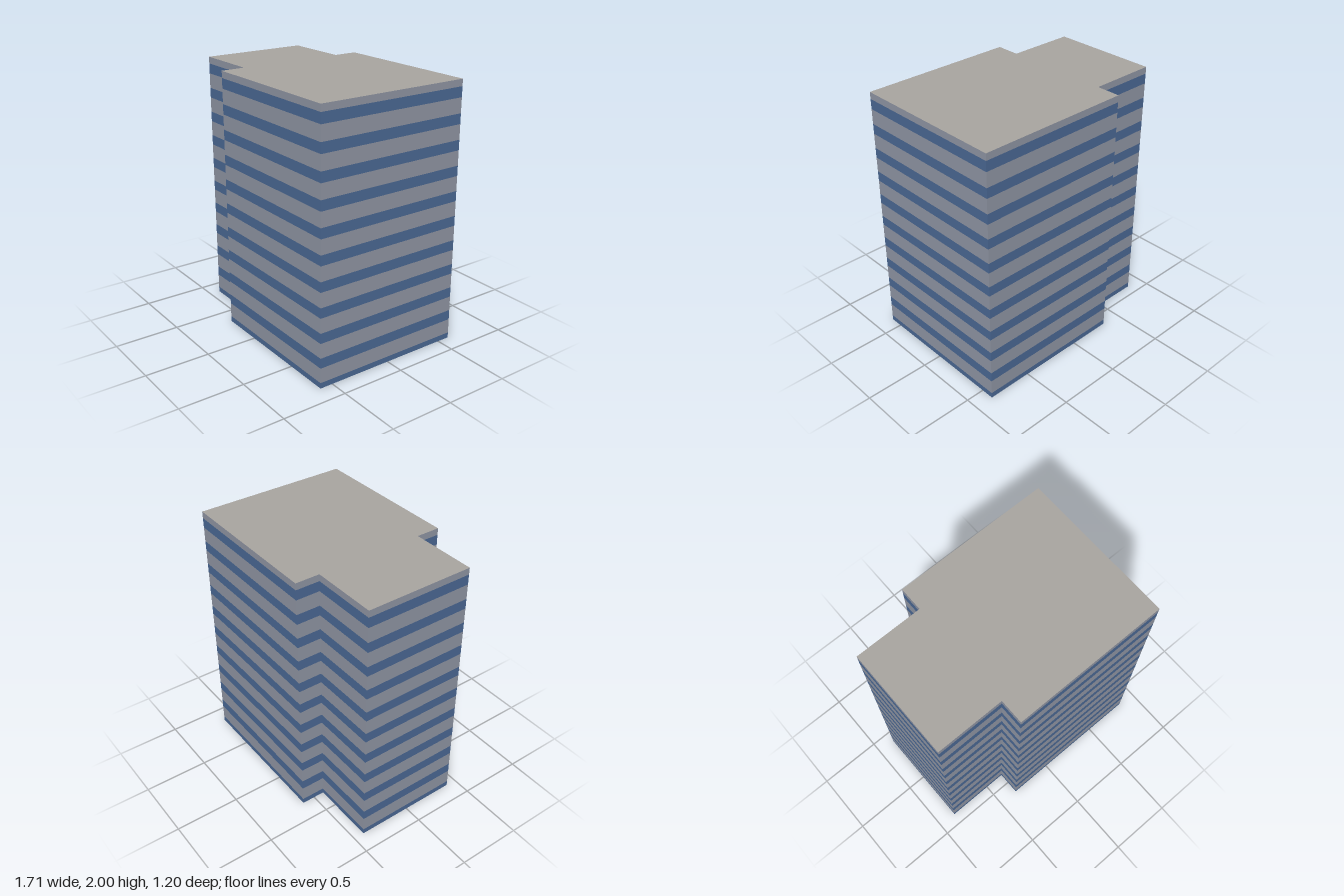
import * as THREE from 'three';

// Footprint (x, z), running along the front towards +x and round the building
const FOOTPRINT = [
  [-0.34, 0.6], [0.855, 0.6], [0.855, -0.6], [-0.34, -0.6],
  [-0.34, -0.415], [-0.855, -0.415], [-0.855, 0.415], [-0.34, 0.415],
];
const HEIGHT = 2;
const FLOOR = 0.1905;     // floor-to-floor height
const GLASS = 0.077;      // height of each window band
const GLASS_TOP = 0.043;  // top of the lowest window band

// Open ring of vertical wall faces following the footprint
function wallRing(y0, y1) {
  const positions = [];
  FOOTPRINT.forEach(([ax, az], i) => {
    const [bx, bz] = FOOTPRINT[(i + 1) % FOOTPRINT.length];
    positions.push(ax, y0, az, bx, y0, bz, bx, y1, bz);
    positions.push(ax, y0, az, bx, y1, bz, ax, y1, az);
  });
  const geometry = new THREE.BufferGeometry();
  geometry.setAttribute('position', new THREE.Float32BufferAttribute(positions, 3));
  geometry.computeVertexNormals();
  return geometry;
}

export function createModel() {
  const model = new THREE.Group();
  model.name = 'officeBlock';

  const material = (name, color) => {
    const m = new THREE.MeshStandardMaterial({ color, side: THREE.DoubleSide });
    m.name = name;
    return m;
  };
  const wallGrey = material('wallGrey', 0x8f95a3);
  const windowBlue = material('windowBlue', 0x4a6894);
  const roofGrey = material('roofGrey', 0xa8a49f);

  const add = (name, geometry, mat) => {
    const mesh = new THREE.Mesh(geometry, mat);
    mesh.name = name;
    model.add(mesh);
    return mesh;
  };

  // Alternating window and wall bands, from the ground to the roof edge
  for (let floor = 0; floor <= 10; floor++) {
    const top = GLASS_TOP + floor * FLOOR;
    const nextGlass = Math.min(HEIGHT, top + FLOOR - GLASS);
    add(`windowBand${floor}`, wallRing(Math.max(0, top - GLASS), top), windowBlue);
    add(`wallBand${floor}`, wallRing(top, nextGlass), wallGrey);
  }

  // Flat roof over the whole footprint; the underside is open
  const outline = new THREE.Shape(FOOTPRINT.map(([x, z]) => new THREE.Vector2(x, -z)));
  const roof = add('roof', new THREE.ShapeGeometry(outline).rotateX(-Math.PI / 2), roofGrey);
  roof.position.y = HEIGHT;

  return model;
}
